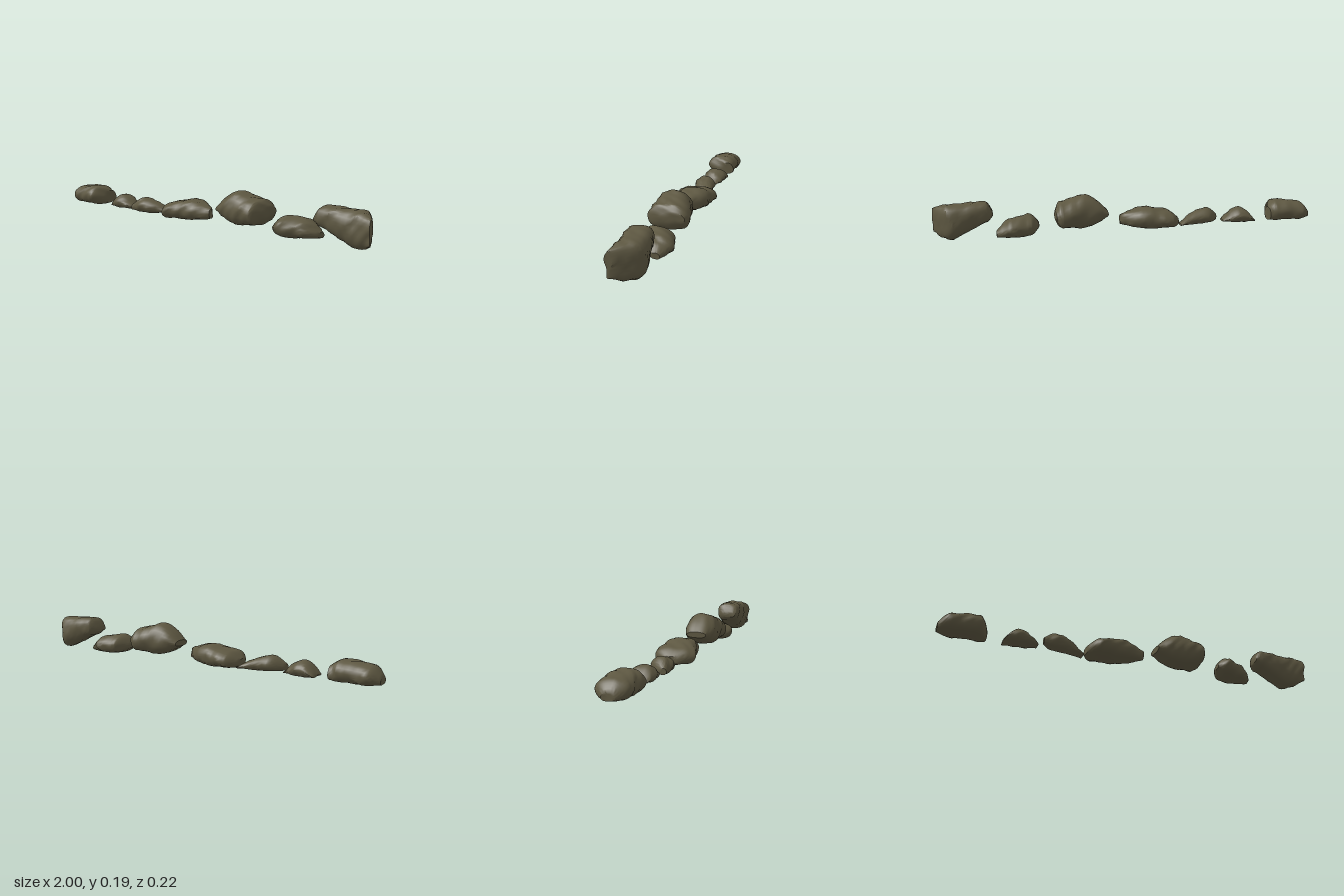
import * as THREE from 'three';
import { mergeVertices, toCreasedNormals } from 'three/addons/utils/BufferGeometryUtils.js';

const RING = 32, STEPS = 7, SQUARE = 3.4;

// Low-amplitude weathering
function lump(x, y, z) {
  return 0.0025 * Math.sin(x * 47 + z * 31) * Math.sin(y * 53 - z * 39 + 1)
    + 0.0015 * Math.sin(x * 101 - y * 83 + z * 71);
}

// One loop of the rock: a superellipse narrowed above and below the middle
function addLoop([x, top, back, front, bottom], taper, scale, out) {
  const cy = (bottom + top) / 2, cz = (back + front) / 2;
  for (let j = 0; j < RING; j++) {
    const a = j / RING * Math.PI * 2, c = Math.cos(a), s = Math.sin(a);
    const r = (Math.abs(c) ** SQUARE + Math.abs(s) ** SQUARE) ** (-1 / SQUARE);
    const v = s * r;
    const narrow = 1 - (v > 0 ? taper : 0.15) * Math.abs(v) ** 1.5;
    const y = cy + v * (top - bottom) / 2 * scale;
    const z = cz + c * r * narrow * (front - back) / 2 * scale;
    const d = lump(x, y, z) * scale;
    out.push(x + d / 2, Math.max(0, y + s * d), z + c * d * 1.5);
  }
}

// Stations are [x, top, back z, front z, bottom]; without a bottom the rock
// rests on the ground and lifts slightly at its ends.
function rockGeometry(taper, stations) {
  const last = stations.length - 1;
  const S = stations.map(([x, top, back, front, bottom], i) =>
    [x, top, back, front, bottom ?? (i % last === 0 ? 0.013 : 0.006)]);
  const positions = [], index = [];

  // closed left end, body swelling quickly from both ends, closed right end
  for (const k of [0, 0.6]) addLoop(S[0], taper, k, positions);
  for (let i = 0; i < last; i++) {
    for (let n = 0; n < STEPS; n++) {
      const t = n / STEPS;
      let blend = t;
      if (i === 0) blend = Math.sin(t * Math.PI / 2);
      else if (i === last - 1) blend = 1 - Math.cos(t * Math.PI / 2);
      const loop = S[i].map((v, k) => THREE.MathUtils.lerp(v, S[i + 1][k], k === 0 ? t : blend));
      addLoop(loop, taper, 1, positions);
    }
  }
  for (const k of [1, 0.6, 0]) addLoop(S[last], taper, k, positions);

  // skin between loops; the first and last loops are single points
  const rows = positions.length / 3 / RING;
  for (let i = 0; i < rows - 1; i++) {
    for (let j = 0; j < RING; j++) {
      const a = i * RING + j, b = i * RING + (j + 1) % RING;
      if (i < rows - 2) index.push(a, a + RING, b + RING);
      if (i > 0) index.push(a, b + RING, b);
    }
  }
  const geometry = new THREE.BufferGeometry();
  geometry.setAttribute('position', new THREE.Float32BufferAttribute(positions, 3));
  geometry.setIndex(index);
  return toCreasedNormals(mergeVertices(geometry, 1e-5), 0.75);
}

export function createModel() {
  const group = new THREE.Group();
  group.name = 'rockRow';
  const stone = new THREE.MeshStandardMaterial({ color: 0x5e5842 });
  stone.name = 'mossy stone';

  function addRock(name, taper, ...stations) {
    const mesh = new THREE.Mesh(rockGeometry(taper, stations), stone);
    mesh.name = name;
    group.add(mesh);
  }

  // low rocks resting on the ground
  addRock('blockRock', 0.25,
    [-1, 0.05, -0.04, 0.03], [-0.94, 0.1, -0.088, 0.075], [-0.81, 0.112, -0.083, 0.08], [-0.762, 0.08, -0.08, 0]);
  addRock('smallRock', 0.5,
    [-0.68, 0.022, -0.06, 0.03], [-0.61, 0.083, -0.073, 0.058], [-0.51, 0.02, -0.033, 0.018]);
  addRock('flatRock', 0.4,
    [-0.49, 0.045, 0.025, 0.055], [-0.42, 0.084, -0.045, 0.062], [-0.265, 0.02, -0.068, -0.01]);
  addRock('broadRock', 0.2,
    [-0.258, 0.05, -0.04, 0.03], [-0.2, 0.088, -0.112, 0.103], [-0.1, 0.112, -0.1, 0.077], [0.05, 0.08, -0.012, 0.02, 0.03]);
  addRock('craggyRock', 0.4,
    [0.472, 0.06, 0, 0.055, 0.035], [0.53, 0.108, -0.09, 0.09], [0.6, 0.096, -0.108, 0.055], [0.69, 0.04, -0.06, -0.02]);

  // taller rocks with raised undersides
  addRock('tallRock', 0.3,
    [0.122, 0.112, -0.055, 0.055, 0.08], [0.245, 0.192, -0.088, 0.09, 0.028],
    [0.36, 0.162, -0.112, 0.1, 0.036], [0.393, 0.125, -0.095, 0.01, 0.08]);
  addRock('leaningRock', 0.08,
    [0.702, 0.13, -0.01, 0.055, 0.11], [0.74, 0.183, -0.058, 0.07, 0.085],
    [0.9, 0.178, -0.08, 0.07, 0.006], [0.997, 0.155, 0.045, 0.07, 0.035]);
  return group;
}
